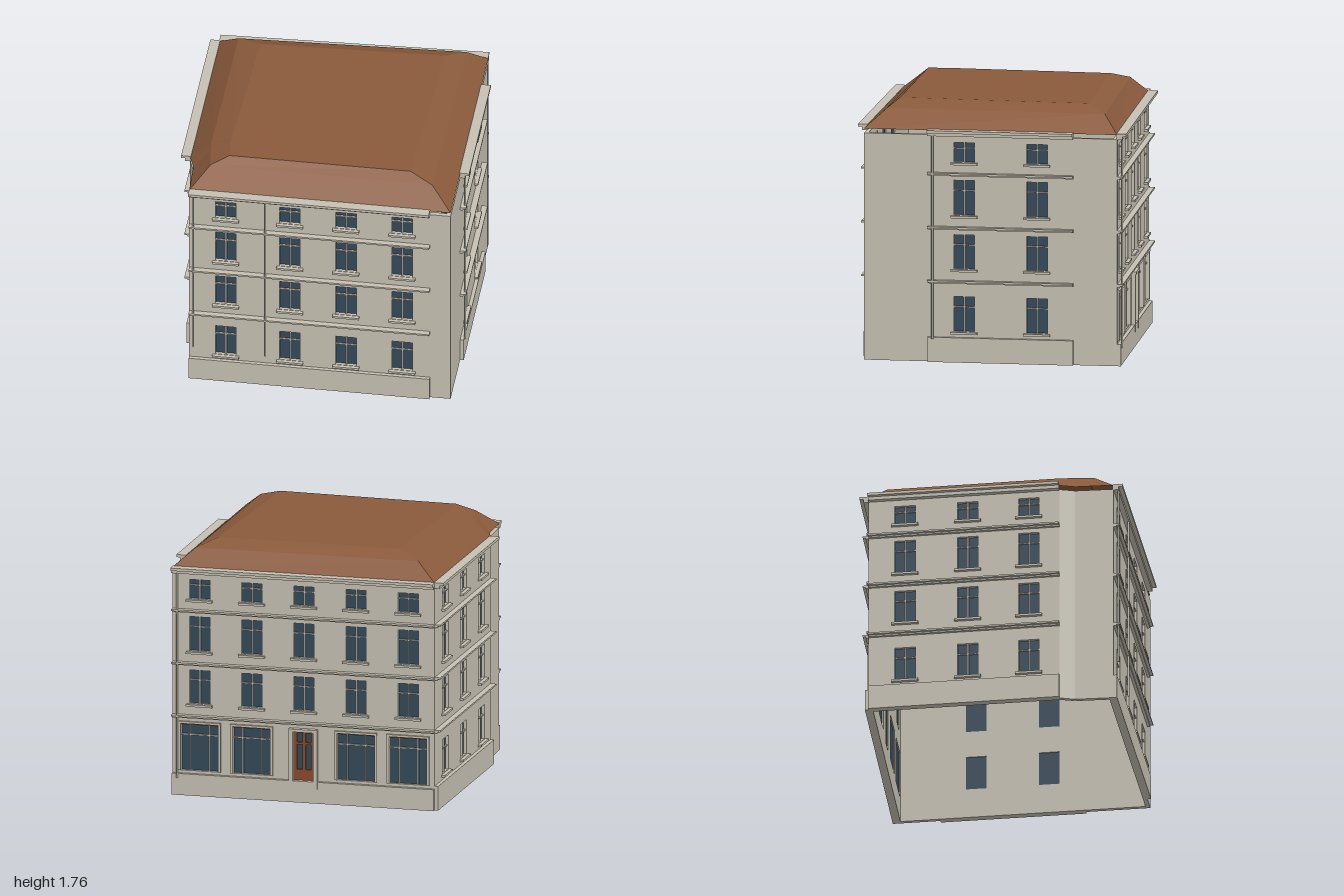
import * as THREE from 'three';

const mat = (name, color, double) => {
  const m = new THREE.MeshStandardMaterial({ color });
  m.name = name;
  if (double) m.side = THREE.DoubleSide;
  return m;
};
const stone = mat('stone', 0xc6c1b3, true);
const glass = mat('glass', 0x34495a, true);
const tile = mat('roofTile', 0x8a5a3c, true);
const wood = mat('wood', 0x8a4a2e);

const WALL_TOP = 1.56, DEPTH = 0.03;
const FLOORS = [[0.21, 0.45], [0.64, 0.875], [1.01, 1.25], [1.375, 1.51]];

// Box spanning two corners in facade space
function box(parent, name, m, x0, x1, y0, y1, z0, z1) {
  const mesh = new THREE.Mesh(new THREE.BoxGeometry(x1 - x0, y1 - y0, z1 - z0), m);
  mesh.position.set((x0 + x1) / 2, (y0 + y1) / 2, (z0 + z1) / 2);
  mesh.name = name;
  parent.add(mesh);
}

function pane(parent, x, w, y0, y1) {
  const mesh = new THREE.Mesh(new THREE.PlaneGeometry(w, y1 - y0), glass);
  mesh.position.set(x, (y0 + y1) / 2, -0.022);
  mesh.name = 'glass';
  parent.add(mesh);
}

// Casement window: pane, central mullion, transom and projecting sill
function addWindow(parent, o) {
  const g = new THREE.Group();
  g.name = 'window';
  const { x, w, y0, y1 } = o, ty = y0 + (y1 - y0) * 0.7;
  pane(g, x, w, y0, y1);
  box(g, 'mullion', stone, x - 0.005, x + 0.005, y0, y1, -0.021, -0.008);
  box(g, 'transom', stone, x - w / 2, x + w / 2, ty - 0.004, ty + 0.004, -0.021, -0.008);
  box(g, 'sill', stone, x - w / 2 - 0.02, x + w / 2 + 0.02, y0 - 0.018, y0 - 0.003, -0.005, 0.025);
  parent.add(g);
}

// Shop window: wide pane with side lights, transom and wooden head strip
function addShopWindow(parent, o) {
  const g = new THREE.Group();
  g.name = 'shopWindow';
  const { x, w, y0, y1 } = o;
  pane(g, x, w, y0, y1);
  for (const k of [-0.25, 0.25]) box(g, 'mullion', stone, x + k * w - 0.004, x + k * w + 0.004, y0, y1, -0.021, -0.008);
  box(g, 'transom', stone, x - w / 2, x + w / 2, 0.415, 0.424, -0.021, -0.008);
  box(g, 'headStrip', wood, x - w / 2, x + w / 2, y1 - 0.01, y1, -0.021, -0.004);
  for (const s of [-1, 1]) {
    const c = x + s * (w / 2 + 0.01);
    box(g, 'jamb', stone, c - 0.008, c + 0.008, y0, y1 + 0.015, -0.005, 0.012);
  }
  box(g, 'lintel', stone, x - w / 2 - 0.018, x + w / 2 + 0.018, y1, y1 + 0.015, -0.005, 0.015);
  parent.add(g);
}

// Glazed wooden entrance with stone surround
function addDoor(parent, o) {
  const g = new THREE.Group();
  g.name = 'door';
  const { x, w, y0, y1 } = o, h = w / 2;
  pane(g, x, w, y0, y1);
  for (const c of [x - h + 0.01, x, x + h - 0.01]) box(g, 'doorStile', wood, c - 0.01, c + 0.01, y0, y1, -0.021, -0.005);
  for (const [a, b] of [[y0, y0 + 0.075], [0.4, 0.415], [y1 - 0.015, y1]])
    box(g, 'doorRail', wood, x - h, x + h, a, b, -0.02, -0.007);
  for (const s of [-1, 1]) {
    const c = x + s * (h + 0.016);
    box(g, 'doorPilaster', stone, c - 0.014, c + 0.014, 0.1, y1 + 0.02, -0.005, 0.03);
  }
  box(g, 'doorLintel', stone, x - h - 0.03, x + h + 0.03, y1, y1 + 0.02, -0.005, 0.035);
  parent.add(g);
}

// One wall from a to b (left to right seen from outside) with all its trim
function facade(name, a, b, { cols = [], trim, plinth = 0.17, pipes = [], shop = false } = {}) {
  const g = new THREE.Group();
  g.name = name;
  const dx = b[0] - a[0], dz = b[1] - a[1], len = Math.hypot(dx, dz);
  g.position.set(a[0], 0, a[1]);
  g.rotation.y = Math.atan2(-dz, dx);

  const openings = [];
  cols.forEach((x, i) => FLOORS.forEach(([y0, y1], f) => {
    if (shop && f === 0) {
      openings.push(i === 2 ? { x, w: 0.14, y0: 0.15, y1: 0.495, add: addDoor }
        : { x, w: 0.26, y0: 0.17, y1: 0.5, add: addShopWindow });
    } else openings.push({ x, w: 0.142, y0, y1, add: addWindow });
  }));

  // Wall with cut openings
  const shape = new THREE.Shape([[0, 0], [len, 0], [len, WALL_TOP], [0, WALL_TOP]].map(p => new THREE.Vector2(...p)));
  for (const { x, w, y0, y1 } of openings) {
    const l = x - w / 2, r = x + w / 2;
    shape.holes.push(new THREE.Path([[l, y0], [l, y1], [r, y1], [r, y0]].map(p => new THREE.Vector2(...p))));
  }
  const wall = new THREE.Mesh(new THREE.ExtrudeGeometry(shape, { depth: DEPTH, bevelEnabled: false }), stone);
  wall.position.z = -DEPTH;
  wall.name = 'wall';
  g.add(wall);
  for (const o of openings) o.add(g, o);

  // Plinth, stepped string courses and cornice
  if (trim) {
    const [s, e] = trim;
    box(g, 'plinth', stone, s, e, 0, plinth, -0.005, 0.025);
    for (const y of [0.54, 0.91, 1.28]) {
      box(g, 'stringCourseLower', stone, s, e, y, y + 0.01, -0.005, 0.02);
      box(g, 'stringCourseUpper', stone, s, e, y + 0.01, y + 0.022, -0.005, 0.04);
    }
    box(g, 'corniceLower', stone, s, e, 1.555, 1.578, -0.005, 0.035);
    box(g, 'corniceUpper', stone, s, e, 1.578, 1.597, -0.005, 0.062);
  }

  // Drainpipes
  for (const [x, y0] of pipes) {
    const pipe = new THREE.Mesh(new THREE.CylinderGeometry(0.007, 0.007, WALL_TOP - y0, 8), stone);
    pipe.position.set(x, (WALL_TOP + y0) / 2, 0.03);
    pipe.name = 'drainpipe';
    g.add(pipe);
  }
  return g;
}

// Hipped roof lofted through three outlines and capped flat
function roof() {
  const rings = [
    [1.59, [[-.94, -.76], [-.9, .55], [-.86, .65], [-.84, .91], [.95, .84], [.89, -.9]]],
    [1.71, [[-.79, -.66], [-.76, .5], [-.75, .6], [-.72, .76], [.8, .71], [.76, -.79]]],
    [1.76, [[-.62, -.56], [-.62, .5], [-.62, .58], [-.6, .7], [.64, .65], [.64, -.66]]],
  ].map(([y, pts]) => pts.map(([x, z]) => [x, y, z]));
  const v = [], n = 6;
  for (let r = 0; r < 2; r++) for (let i = 0; i < n; i++) {
    const j = (i + 1) % n, lo = rings[r], hi = rings[r + 1];
    v.push(...lo[i], ...lo[j], ...hi[j], ...lo[i], ...hi[j], ...hi[i]);
  }
  for (let i = 1; i < n - 1; i++) v.push(...rings[2][0], ...rings[2][i], ...rings[2][i + 1]);
  const geo = new THREE.BufferGeometry();
  geo.setAttribute('position', new THREE.Float32BufferAttribute(v, 3));
  geo.computeVertexNormals();
  const mesh = new THREE.Mesh(geo, tile);
  mesh.name = 'roof';
  return mesh;
}

export function createModel() {
  const model = new THREE.Group();
  model.name = 'cornerBuilding';
  const backLeft = [-0.94, -0.76], sideEnd = [-0.9, 0.55], bend = [-0.86, 0.65];
  const frontLeft = [-0.84, 0.91], frontRight = [0.95, 0.84], backRight = [0.89, -0.9];
  model.add(
    facade('frontFacade', frontLeft, frontRight, {
      cols: [0.25, 0.69, 1.075, 1.46], trim: [0, 1.65], pipes: [[0.03, 0.28], [0.525, 0.25]],
    }),
    facade('sideFacadePlusX', frontRight, backRight, { cols: [0.69, 1.19], trim: [0.44, 1.44], pipes: [[0.475, 0.16]] }),
    facade('shopFacade', backRight, backLeft, {
      cols: [0.19, 0.555, 0.92, 1.285, 1.65], trim: [0, 1.835], plinth: 0.15, pipes: [[0.04, 0.12]], shop: true,
    }),
    facade('sideFacadeMinusX', backLeft, sideEnd, { cols: [0.25, 0.68, 1.1], trim: [0, 1.31] }),
    facade('cornerWall', sideEnd, bend),
    facade('returnWall', bend, frontLeft),
    roof(),
  );
  return model;
}
